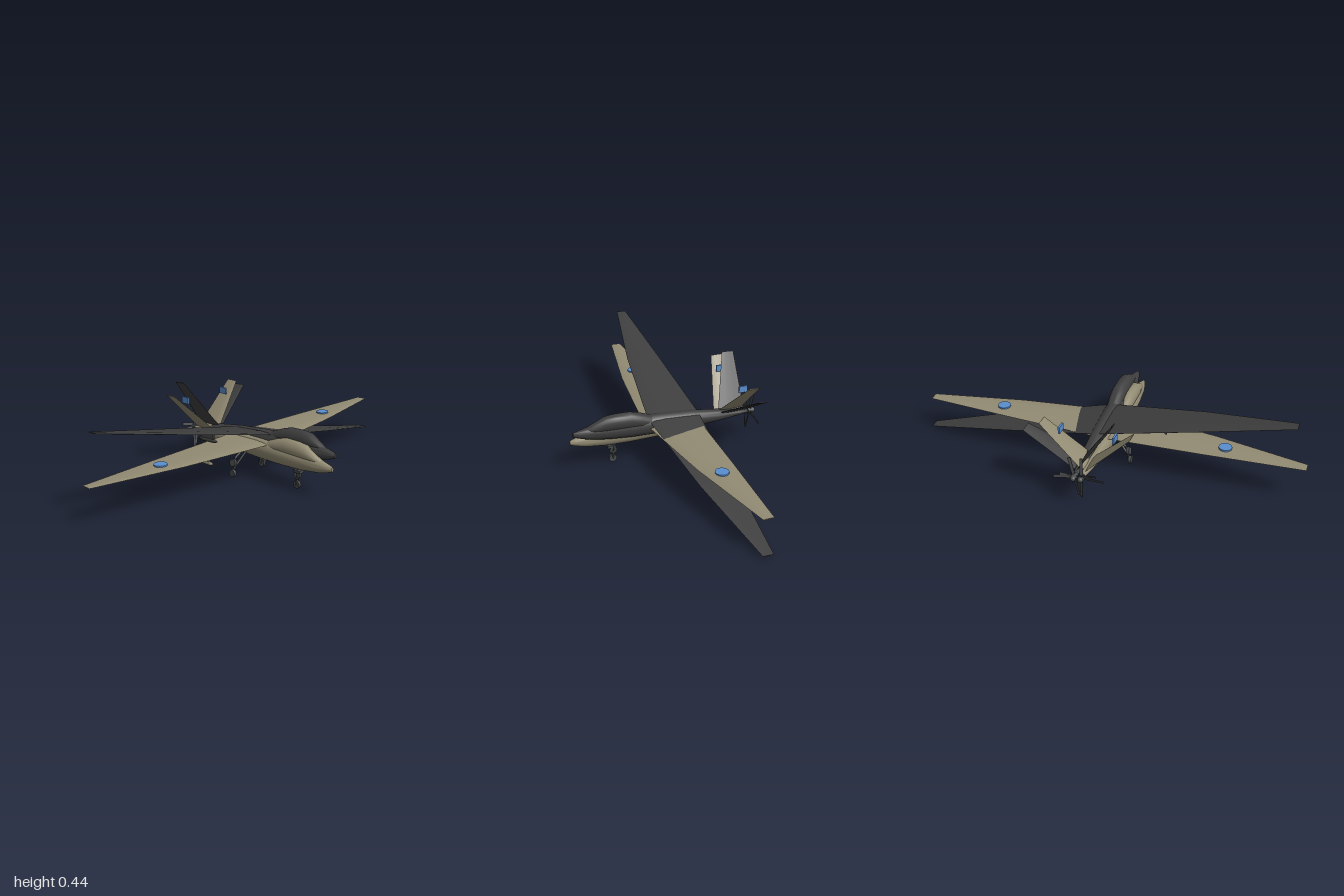
import * as THREE from 'three';
import { toCreasedNormals } from 'three/addons/utils/BufferGeometryUtils.js';

const mat = (name, color) => {
  const m = new THREE.MeshStandardMaterial({ color });
  m.name = name;
  return m;
};

// Skins a row of closed cross-sections and caps both ends
function loft(rings, crease = 0.7) {
  const n = rings[0].length, pos = rings.flat(2), idx = [];
  for (let r = 0; r < rings.length - 1; r++) {
    for (let i = 0; i < n; i++) {
      const a = r * n + i, b = r * n + (i + 1) % n;
      idx.push(a, b, a + n, b, b + n, a + n);
    }
  }
  const e = (rings.length - 1) * n;
  for (let i = 1; i < n - 1; i++) idx.push(0, i + 1, i, e, e + i, e + i + 1);

  // Turn the faces outward if the enclosed volume is negative
  const p = i => new THREE.Vector3(pos[i * 3], pos[i * 3 + 1], pos[i * 3 + 2]);
  let volume = 0;
  for (let i = 0; i < idx.length; i += 3) {
    volume += p(idx[i]).dot(p(idx[i + 1]).cross(p(idx[i + 2])));
  }
  if (volume < 0) idx.reverse();
  const g = new THREE.BufferGeometry();
  g.setAttribute('position', new THREE.Float32BufferAttribute(pos, 3));
  g.setIndex(idx);
  return toCreasedNormals(g, crease);
}

// Elliptical body from stations [z, bottom, top, halfWidth]
function bodyGeometry(stations, sides = 24) {
  return loft(stations.map(([z, lo, hi, w]) => Array.from({ length: sides }, (_, i) => {
    const a = i / sides * Math.PI * 2;
    return [Math.cos(a) * w, (lo + hi) / 2 + Math.sin(a) * (hi - lo) / 2, z];
  })));
}

// Thin aerofoil section: chord fraction and thickness fraction
const FOIL = [[0, 0], [0.08, 0.35], [0.3, 0.5], [0.65, 0.3], [1, 0.03],
  [1, -0.03], [0.65, -0.3], [0.3, -0.5], [0.08, -0.35]];
// Stations [x, y, leadingZ, trailingZ, thickness]; (nx, ny) is the thickness direction
const foilGeometry = (stations, nx, ny) => loft(stations.map(([x, y, a, b, t]) =>
  FOIL.map(([c, h]) => [x + nx * h * t, y + ny * h * t, a + (b - a) * c])), 0.5);

function strut(a, b, r) {
  const A = new THREE.Vector3(...a), B = new THREE.Vector3(...b), d = B.clone().sub(A);
  const g = new THREE.CylinderGeometry(r, r, d.length(), 8);
  g.applyQuaternion(new THREE.Quaternion().setFromUnitVectors(
    new THREE.Vector3(0, 1, 0), d.normalize()));
  const m = A.add(B).multiplyScalar(0.5);
  return g.translate(m.x, m.y, m.z);
}

function buildAircraft(skin, metal, blue) {
  const craft = new THREE.Group();
  const add = (name, geo, material, x = 0, y = 0, z = 0) => {
    const m = new THREE.Mesh(geo, material);
    m.name = name;
    m.position.set(x, y, z);
    craft.add(m);
    return m;
  };

  // Body and domed forward hump
  add('fuselage', bodyGeometry([
    [0.5, 0.14, 0.163, 0.008], [0.47, 0.13, 0.172, 0.018], [0.42, 0.117, 0.185, 0.029],
    [0.32, 0.105, 0.198, 0.04], [0.2, 0.1, 0.206, 0.046], [0.05, 0.1, 0.209, 0.046],
    [-0.12, 0.106, 0.202, 0.041], [-0.28, 0.123, 0.186, 0.031], [-0.4, 0.14, 0.171, 0.019],
    [-0.46, 0.149, 0.163, 0.01]]), skin);
  add('forwardHump', bodyGeometry([
    [0.435, 0.16, 0.18, 0.012], [0.41, 0.155, 0.195, 0.022], [0.34, 0.15, 0.236, 0.034],
    [0.29, 0.15, 0.243, 0.037], [0.21, 0.15, 0.244, 0.039], [0.15, 0.15, 0.228, 0.038],
    [0.09, 0.15, 0.206, 0.032]]), skin);

  // Long tapered wing, tip to tip
  add('wing', foilGeometry([
    [-0.99, 0.19, -0.053, -0.106, 0.005], [-0.52, 0.19, 0.043, -0.136, 0.01],
    [0, 0.19, 0.113, -0.163, 0.016], [0.52, 0.19, 0.043, -0.136, 0.01],
    [0.99, 0.19, -0.053, -0.106, 0.005]], 0, 1), skin);

  for (const s of [-1, 1]) {
    const side = s > 0 ? 'left' : 'right';
    add(side + 'TailFin', foilGeometry([
      [s * 0.008, 0.172, -0.283, -0.43, 0.01],
      [s * 0.223, 0.388, -0.36, -0.425, 0.005]], -s * 0.707, 0.707), skin);

    // Underwing store with pylon, pointed nose and cross fins
    const x = s * 0.335;
    add(side + 'Pylon', new THREE.BoxGeometry(0.009, 0.034, 0.08), skin, x, 0.171, -0.03);
    add(side + 'Store', new THREE.CylinderGeometry(0.009, 0.009, 0.1, 12).rotateX(Math.PI / 2),
      skin, x, 0.15, -0.03);
    add(side + 'StoreNose', new THREE.ConeGeometry(0.009, 0.02, 12).rotateX(Math.PI / 2),
      skin, x, 0.15, 0.03);
    for (const [w, h] of [[0.036, 0.003], [0.003, 0.036]]) {
      add(side + 'StoreFin', new THREE.BoxGeometry(w, h, 0.02), skin, x, 0.15, -0.068);
    }

    // Main landing gear
    add(side + 'GearLeg', strut([s * 0.03, 0.125, -0.04], [s * 0.098, 0.045, -0.06], 0.006), metal);
    add(side + 'GearFoot', strut([s * 0.098, 0.05, -0.06], [s * 0.1, 0.018, -0.06], 0.005), metal);
    add(side + 'MainWheel', new THREE.CylinderGeometry(0.02, 0.02, 0.014, 20)
      .rotateZ(Math.PI / 2), metal, s * 0.109, 0.02, -0.06);

    // Blue markings
    if (blue) {
      add(side + 'WingRoundel', new THREE.CylinderGeometry(0.033, 0.033, 0.009, 24), blue,
        s * 0.59, 0.196, -0.05);
      add(side + 'TailMarking', new THREE.BoxGeometry(0.0095, 0.034, 0.046), blue,
        s * 0.135, 0.35, -0.375);
    }
  }

  // Nose gear
  add('noseGearLeg', strut([0, 0.12, 0.285], [0, 0.05, 0.28], 0.006), metal);
  add('noseGearBracket', new THREE.BoxGeometry(0.034, 0.014, 0.042), metal, 0, 0.092, 0.288);
  for (const s of [-1, 1]) {
    add('noseGearFork', strut([s * 0.009, 0.055, 0.28], [s * 0.009, 0.018, 0.28], 0.003), metal);
  }
  add('noseGearCrown', new THREE.BoxGeometry(0.022, 0.008, 0.012), metal, 0, 0.053, 0.28);
  add('noseWheel', new THREE.CylinderGeometry(0.02, 0.02, 0.013, 20)
    .rotateZ(Math.PI / 2), metal, 0, 0.02, 0.28);

  // Pusher propeller
  add('propellerHub', new THREE.CylinderGeometry(0.017, 0.014, 0.028, 16)
    .rotateX(Math.PI / 2), metal, 0, 0.156, -0.464);
  add('propellerSpinner', new THREE.SphereGeometry(0.014, 16, 10), metal, 0, 0.156, -0.481);
  for (let i = 0; i < 4; i++) {
    const blade = new THREE.BoxGeometry(0.015, 0.105, 0.003).rotateY(0.35).translate(0, 0.057, 0);
    add('propellerBlade', blade, metal, 0, 0.156, -0.464).rotation.z = i * Math.PI / 2;
  }
  return craft;
}

export function createModel() {
  const tan = mat('tan skin', 0x928b73);
  const dark = mat('charcoal skin', 0x3e3e3e);
  const metal = mat('gear grey', 0x484a4c);
  const blue = mat('marking blue', 0x5b8fd0);
  const model = new THREE.Group();

  // Level tan aircraft
  const level = buildAircraft(tan, metal, blue);
  level.name = 'tanAircraft';
  level.position.x = -0.01;
  model.add(level);

  // Charcoal aircraft, banked and pitched about its wing centre
  const banked = new THREE.Group();
  banked.name = 'charcoalAircraft';
  const body = buildAircraft(dark, metal, null);
  body.name = 'charcoalAirframe';
  body.position.set(0, -0.19, 0.05);
  banked.add(body);
  banked.position.set(0.03, 0.218, -0.06);
  banked.rotation.set(-0.055, 0, -0.208);
  model.add(banked);
  return model;
}
